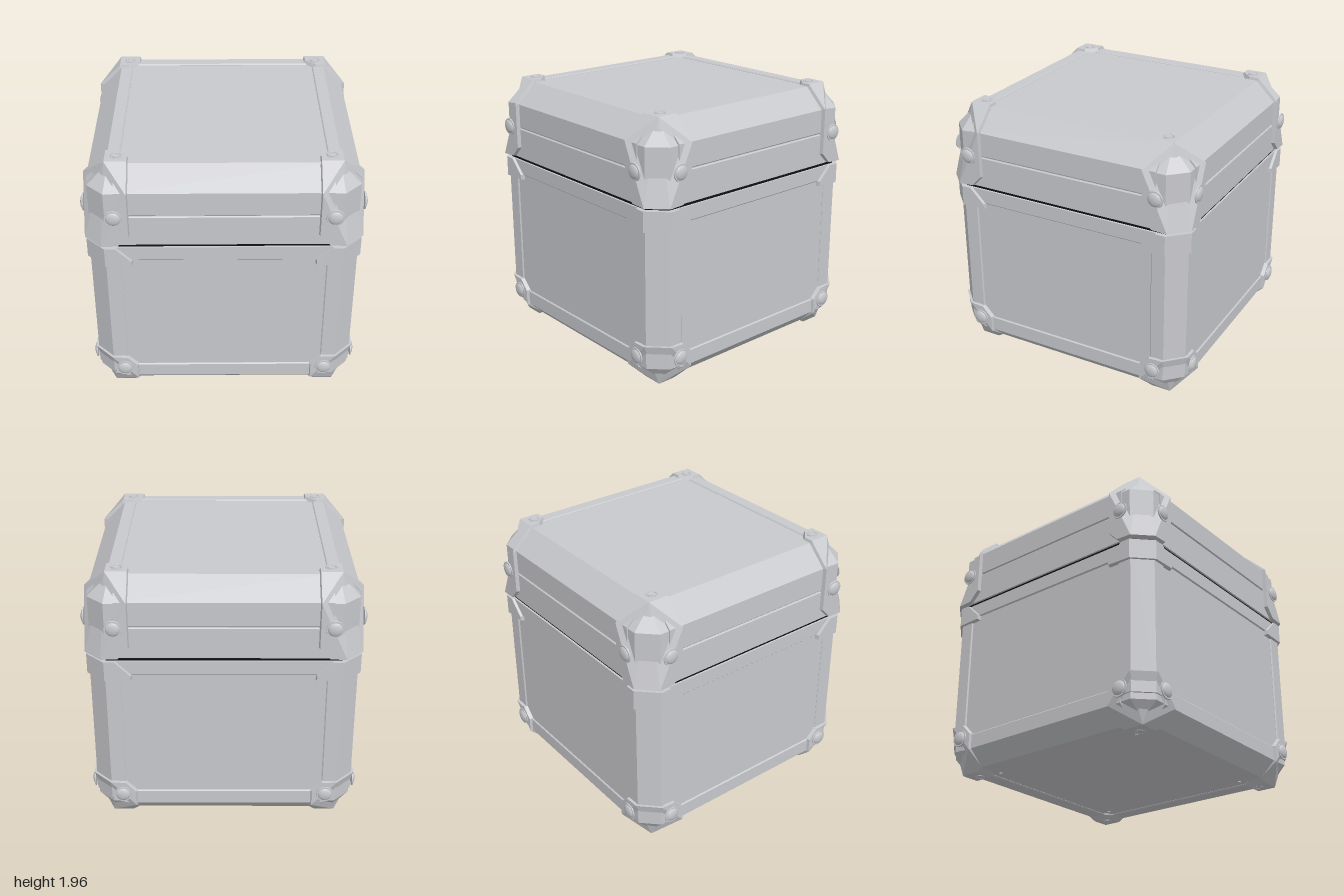
import * as THREE from 'three';
import { ConvexGeometry } from 'three/addons/geometries/ConvexGeometry.js';

const metal = new THREE.MeshStandardMaterial({ color: 0xc8c9cd });
metal.name = 'light grey metal';
const rubber = new THREE.MeshStandardMaterial({ color: 0x111113 });
rubber.name = 'black rubber';

function add(parent, name, geometry, material = metal) {
  const mesh = new THREE.Mesh(geometry, material);
  mesh.name = name;
  parent.add(mesh);
  return mesh;
}

const hull = (points) => new ConvexGeometry(points.map((p) => new THREE.Vector3(...p)));

// Square block with bevelled upright edges and optional bevels round the bottom and top
function block(h, y0, y1, upright, low, high) {
  const points = [];
  for (const sx of [-1, 1]) for (const sz of [-1, 1]) {
    for (const [y, edge, c] of [[y0, y0 + low, low], [y1, y1 - high, high]]) {
      points.push([sx * (h - upright), edge, sz * h], [sx * h, edge, sz * (h - upright)]);
      if (c) points.push([sx * (h - c), y, sz * (h - c)]);
    }
  }
  return hull(points);
}

function extrude(profile, length) {
  const shape = new THREE.Shape(profile.map(([x, y]) => new THREE.Vector2(x, y)));
  return new THREE.ExtrudeGeometry(shape, { depth: length, bevelEnabled: false });
}

// Rail along x, with its profile given as (z, y)
const levelRail = (profile, half) =>
  extrude(profile, half * 2).translate(0, 0, -half).rotateY(-Math.PI / 2);

// Adds each point again with x and z swapped, so a piece wraps its corner evenly
const wrap = (points) => hull(points.flatMap(([x, y, z]) => [[x, y, z], [z, y, x]]));

// Corner guard: a = inner side, cap = closed end height, end = open end height
function cornerGuard({ h, a, cap, end, upright, chamfer, capInset }) {
  const s = Math.sign(cap - end);
  const cut = 0.08, bevel = 0.01, base = h - 0.04;
  const edge = cap - s * chamfer;
  const side = a + bevel;
  return wrap([
    // outer face
    [side, edge, h], [side, end + s * (cut + 0.005), h], [a + cut + 0.005, end + s * 0.006, h],
    [h - upright, end, h],
    // foot of the bevel, sunk in the wall
    [a, edge, base], [a, end + s * cut, base], [a + cut, end, base],
    // cap
    [a + capInset, cap, h - chamfer], [a + capInset, cap, a + cut + 0.01],
    [a, cap - s * 0.03, h - chamfer], [a, cap - s * 0.03, a + cut],
    [h - chamfer, cap, h - chamfer],
  ]);
}

// Domed rivet on a thin washer, facing +z
function rivet(parent, x, y, z) {
  const group = new THREE.Group();
  group.name = 'domeRivet';
  group.position.set(x, y, z);
  add(group, 'rivetWasher', new THREE.CylinderGeometry(0.062, 0.064, 0.008, 28).rotateX(Math.PI / 2));
  const dome = new THREE.SphereGeometry(0.052, 28, 8, 0, Math.PI * 2, 0, Math.PI / 2);
  add(group, 'rivetDome', dome.rotateX(Math.PI / 2)).scale.z = 0.4;
  parent.add(group);
}

// Flat round screw with a raised rim
function screw(parent, x, y, z) {
  add(parent, 'flatScrew', new THREE.CylinderGeometry(0.026, 0.026, 0.006, 20)).position.set(x, y, z);
  const rim = add(parent, 'screwRim', new THREE.TorusGeometry(0.036, 0.004, 6, 24).rotateX(Math.PI / 2));
  rim.position.set(x, y, z);
}

export function createModel() {
  const model = new THREE.Group();
  model.name = 'case';

  // Recessed panels of the box and the lid, with the seal between them
  add(model, 'boxPanels', block(0.94, 0.04, 1.345, 0.12, 0.115, 0));
  add(model, 'seal', block(0.935, 1.33, 1.385, 0.115, 0, 0), rubber);
  add(model, 'lidPanels', block(0.94, 1.37, 1.93, 0.12, 0, 0.15));

  const uprightRail = extrude([
    [0.72, 0.93], [0.72, 0.942], [0.728, 0.95], [0.83, 0.95],
    [0.95, 0.83], [0.95, 0.728], [0.942, 0.72], [0.93, 0.72],
  ], 1.145).rotateX(-Math.PI / 2).translate(0, 0.2, 0);

  const bottomRail = levelRail([
    [0.93, 0.258], [0.942, 0.258], [0.95, 0.25], [0.95, 0.145], [0.835, 0.03],
    [0.72, 0.03], [0.712, 0.038], [0.712, 0.05], [0.82, 0.06], [0.92, 0.16],
  ], 0.74);
  const rimRail = levelRail([
    [0.92, 1.345], [0.95, 1.345], [0.95, 1.24], [0.942, 1.232], [0.92, 1.232],
  ], 0.74);
  const lidBand = levelRail([
    [0.92, 1.37], [0.95, 1.37], [0.95, 1.595], [0.943, 1.602], [0.92, 1.602],
  ], 0.78);
  const lidRail = levelRail([
    [0.92, 1.608], [0.943, 1.608], [0.95, 1.615], [0.95, 1.79], [0.8, 1.94],
    [0.718, 1.94], [0.71, 1.932], [0.71, 1.92], [0.79, 1.92], [0.92, 1.78],
  ], 0.75);

  const lidGuard = cornerGuard({
    h: 0.977, a: 0.65, cap: 1.96, end: 1.37, upright: 0.125, chamfer: 0.165, capInset: 0.008,
  });
  const footGuard = cornerGuard({
    h: 0.97, a: 0.64, cap: 0.003, end: 0.342, upright: 0.135, chamfer: 0.135, capInset: 0.05,
  });
  // Collar round the box corner just below the seal
  const collar = wrap([
    [0.76, 1.345, 0.97], [0.65, 1.235, 0.97], [0.65, 1.202, 0.97], [0.835, 1.195, 0.97],
    [0.835, 1.345, 0.97], [0.75, 1.345, 0.93], [0.64, 1.237, 0.93], [0.64, 1.195, 0.93],
  ]);

  // The same parts repeat on all four sides
  for (let i = 0; i < 4; i++) {
    const side = new THREE.Group();
    side.name = ['front', 'left', 'back', 'right'][i] + 'Side';
    side.rotation.y = i * Math.PI / 2;
    model.add(side);

    add(side, 'uprightRail', uprightRail);
    add(side, 'bottomRail', bottomRail);
    add(side, 'rimRail', rimRail);
    add(side, 'lidBand', lidBand);
    add(side, 'lidRail', lidRail);
    add(side, 'lidCornerGuard', lidGuard);
    add(side, 'footCornerGuard', footGuard);
    add(side, 'cornerCollar', collar);

    for (const s of [-1, 1]) {
      rivet(side, s * 0.757, 1.605, 0.979);
      rivet(side, s * 0.747, 0.238, 0.972);
    }
    screw(side, 0.735, 1.961, 0.735);
    screw(side, 0.745, 0.004, 0.745);
    // Small pin in the corner of the underside panel
    add(side, 'undersidePin', new THREE.CylinderGeometry(0.012, 0.012, 0.012, 12)).position.set(0.64, 0.038, 0.64);
  }
  return model;
}
